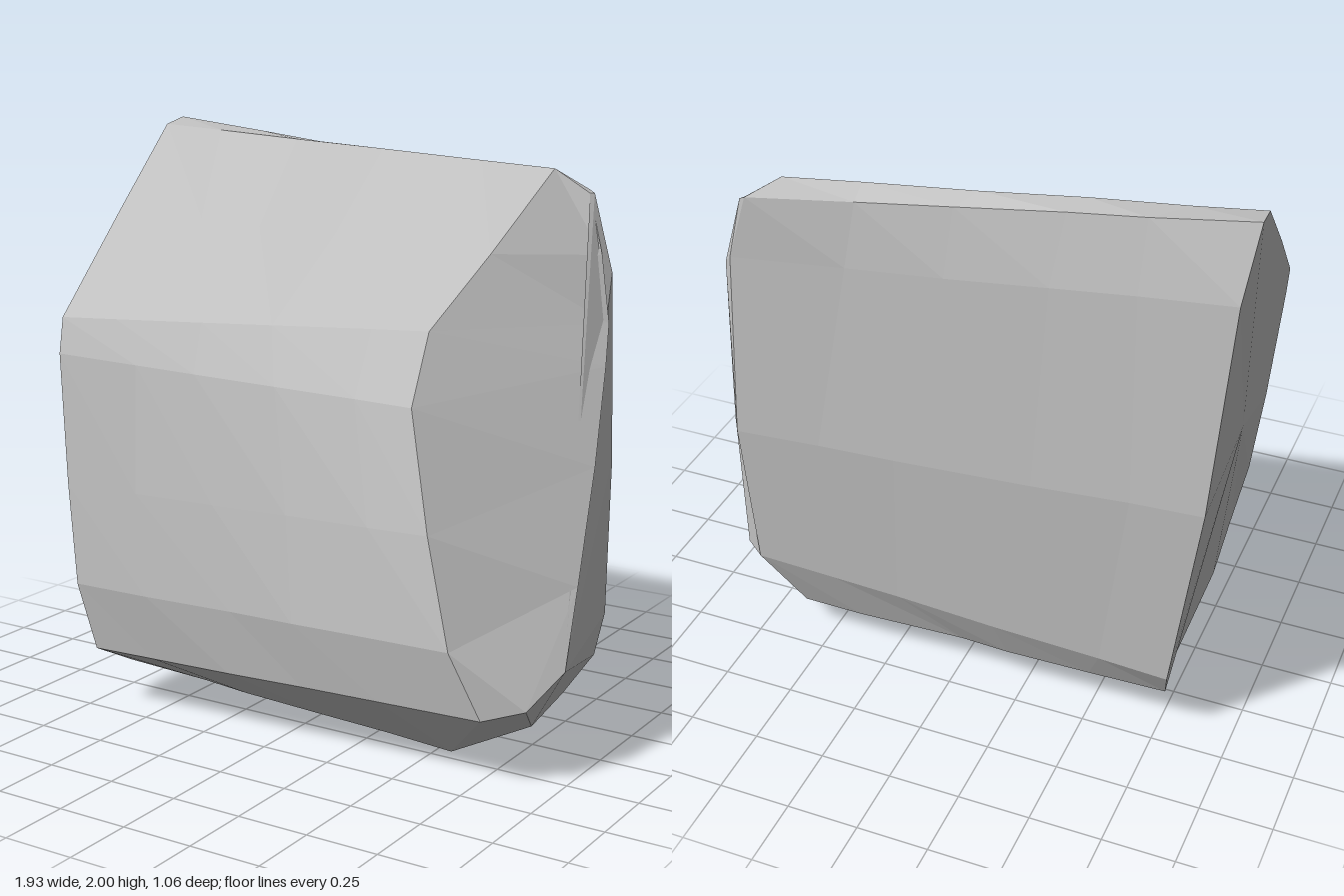
import * as THREE from 'three';

// Matching outlines around the rock, from the top ridge over the front, bottom and back
const LEFT_END = [
  [-.96, 1.98, -.29], [-.925, 1.7, .04], [-.87, 1.37, .44], [-.855, 1.25, .48], [-.81, .8, .51],
  [-.765, .45, .53], [-.72, .21, .49], [-.72, .11, .3], [-.73, .1, -.36], [-.77, .16, -.43],
  [-.79, .27, -.49], [-.89, 1, -.52], [-.94, 1.75, -.475], [-.97, 2, -.4],
];
const RIGHT_EDGE = [
  [.55, 1.88, -.47], [.48, 1.62, -.15], [.42, 1.4, .15], [.45, 1.18, .31], [.57, .8, .41],
  [.68, .45, .465], [.78, .23, .43], [.55, 0, .2], [.5, .02, -.25], [.6, .12, -.41],
  [.73, .34, -.49], [.755, .9, -.53], [.73, 1.58, -.52], [.66, 1.81, -.52],
];
// Diagonal ridge of the broken right end
const RIGHT_RIDGE = [
  [.67, 1.8, -.5], [.74, 1.6, -.46], [.8, 1.38, -.4], [.83, 1.25, -.32], [.885, .95, -.14],
  [.93, .6, .06], [.9, .26, .35], [.82, .13, .15], [.76, .12, -.2], [.8, .22, -.36],
  [.8, .35, -.44], [.8, .9, -.46], [.765, 1.54, -.49], [.68, 1.8, -.515],
];
const LEFT_CENTRE = [-.86, 1, 0];
const RIGHT_TIP = [.96, .36, .2];

function seeded(seed) {
  return () => (seed = (seed * 16807) % 2147483647) / 2147483647;
}

function surface(name, material, triangles) {
  const geometry = new THREE.BufferGeometry();
  geometry.setAttribute('position', new THREE.Float32BufferAttribute(triangles.flat(2), 3));
  geometry.computeVertexNormals();
  const mesh = new THREE.Mesh(geometry, material);
  mesh.name = name;
  return mesh;
}

// Joins successive outlines with triangles
function loft(loops) {
  const out = [];
  for (let s = 0; s < loops.length - 1; s++) {
    const a = loops[s], b = loops[s + 1];
    a.forEach((p, i) => {
      const j = (i + 1) % a.length;
      out.push([p, a[j], b[j]], [p, b[j], b[i]]);
    });
  }
  return out;
}

// Closes an outline around a central point
function fan(loop, centre, flip) {
  return loop.map((p, i) => {
    const q = loop[(i + 1) % loop.length];
    return flip ? [centre, q, p] : [centre, p, q];
  });
}

export function createModel() {
  const stone = new THREE.MeshStandardMaterial({ color: 0xc2c2c2 });
  stone.name = 'grey stone';
  stone.flatShading = true;

  // Slightly uneven outlines between the two ends
  const random = seeded(17);
  const steps = 5;
  const loops = [LEFT_END];
  for (let s = 1; s < steps; s++) {
    loops.push(LEFT_END.map((p, i) => {
      const t = s / steps + (random() - 0.5) * 0.1;
      const v = p.map((c, k) => c + (RIGHT_EDGE[i][k] - c) * t);
      v[2] += (random() - 0.5) * 0.012;
      return v;
    }));
  }
  loops.push(RIGHT_EDGE);

  const rock = new THREE.Group();
  rock.name = 'rock';
  rock.add(
    surface('rockBody', stone, loft(loops)),
    surface('leftEnd', stone, fan(LEFT_END, LEFT_CENTRE, true)),
    surface('rightEnd', stone, [...loft([RIGHT_EDGE, RIGHT_RIDGE]), ...fan(RIGHT_RIDGE, RIGHT_TIP, false)]),
  );
  return rock;
}
